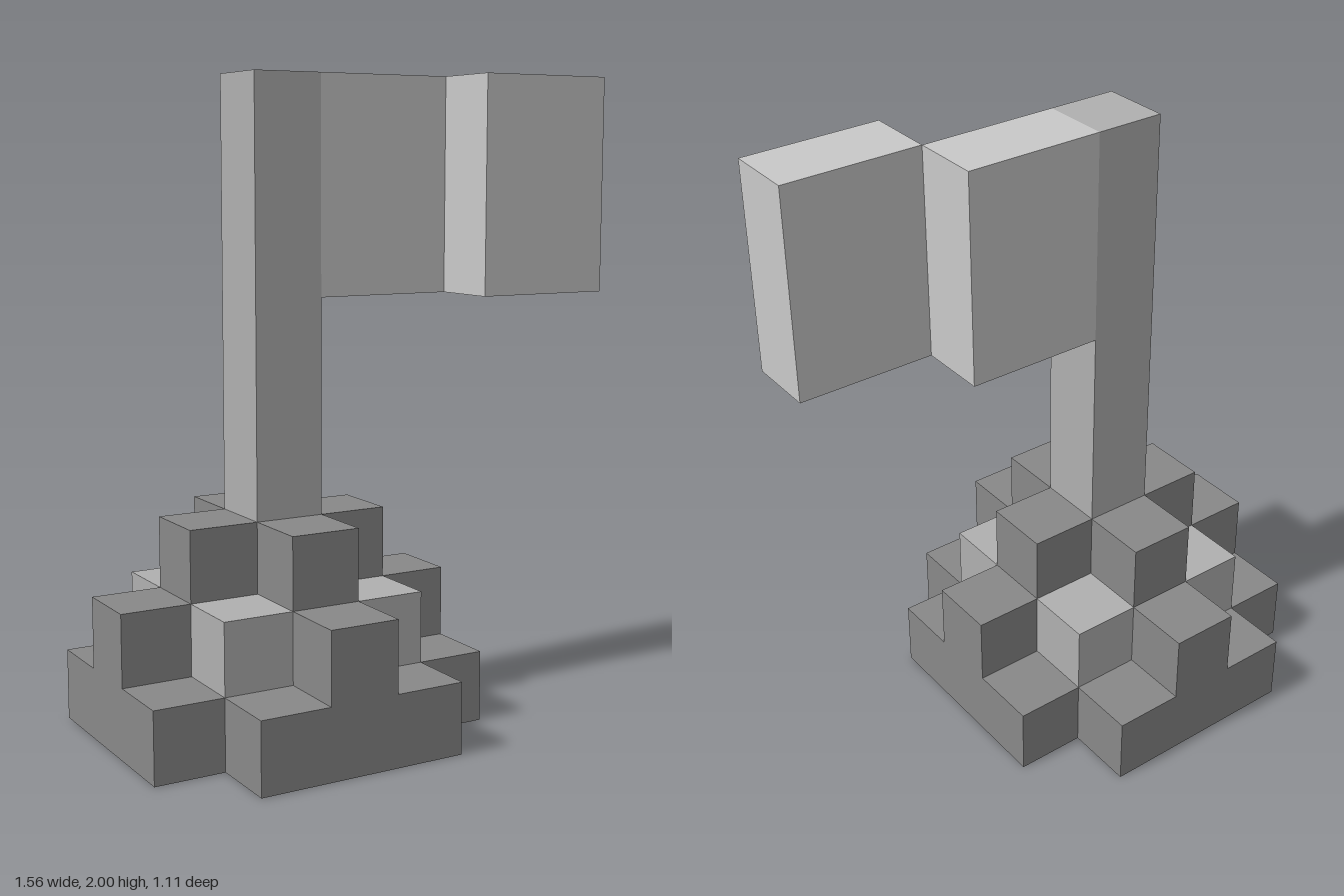
import * as THREE from 'three';

const U = 2 / 9; // size of one block
const X0 = -1.5 * U + U / 2; // x of the pole axis, offset so the flag balances the base

export function createModel() {
  const mat = (name, color) => {
    const m = new THREE.MeshStandardMaterial({ color });
    m.name = name;
    return m;
  };
  const dark = mat('darkGrey', 0x888888);
  const mid = mat('midGrey', 0xb0b0b0);
  const light = mat('lightGrey', 0xc9c9c9);
  const model = new THREE.Group();
  model.name = 'flagOnMound';

  // Box in block units: centre x and z from the pole, bottom y, then size
  const block = (name, material, x, y, z, w, h, d) => {
    const mesh = new THREE.Mesh(new THREE.BoxGeometry(w * U, h * U, d * U), material);
    mesh.position.set(X0 + x * U, (y + h / 2) * U, z * U);
    mesh.name = name;
    model.add(mesh);
  };

  // Bottom layer: square with missing corners
  block('baseCentre', dark, 0, 0, 0, 5, 1, 3);
  for (const s of [-1, 1]) block('baseEnd', dark, 0, 0, s * 2, 3, 1, 1);

  // Stepped cross: long arms, then short arms around the pole
  for (const s of [-1, 1]) {
    block('lowerArmX', dark, s * 1.5, 1, 0, 2, 1, 1);
    block('lowerArmZ', dark, 0, 1, s * 1.5, 1, 1, 2);
    block('upperArmX', dark, s, 2, 0, 1, 1, 1);
    block('upperArmZ', dark, 0, 2, s, 1, 1, 1);
    // Lighter stones in the corners of the cross
    for (const t of [-1, 1]) block('cornerStone', mid, s, 1, t, 1, 1, 1);
  }

  // Rounded patches on the underside
  const patch = (x, z, size) => {
    const h = (size * U) / 2, r = h * 0.3;
    const shape = new THREE.Shape();
    shape.moveTo(-h + r, -h);
    shape.lineTo(h - r, -h).quadraticCurveTo(h, -h, h, -h + r);
    shape.lineTo(h, h - r).quadraticCurveTo(h, h, h - r, h);
    shape.lineTo(-h + r, h).quadraticCurveTo(-h, h, -h, h - r);
    shape.lineTo(-h, -h + r).quadraticCurveTo(-h, -h, -h + r, -h);
    const mesh = new THREE.Mesh(new THREE.ShapeGeometry(shape, 4), mid);
    mesh.rotation.x = Math.PI / 2;
    mesh.position.set(X0 + x * U, -0.001, z * U);
    mesh.name = 'undersidePatch';
    model.add(mesh);
  };
  for (const s of [-1, 1]) for (const t of [-1, 1]) patch(s, t, 1);
  patch(0, 0, 0.6);

  // Pole and the two staggered flag panels
  block('pole', mid, 0, 1, 0, 1, 8, 1);
  block('innerFlag', light, 1.5, 6, 0, 2, 3, 1);
  block('outerFlag', light, 3.5, 6, 1, 2, 3, 1);

  return model;
}
